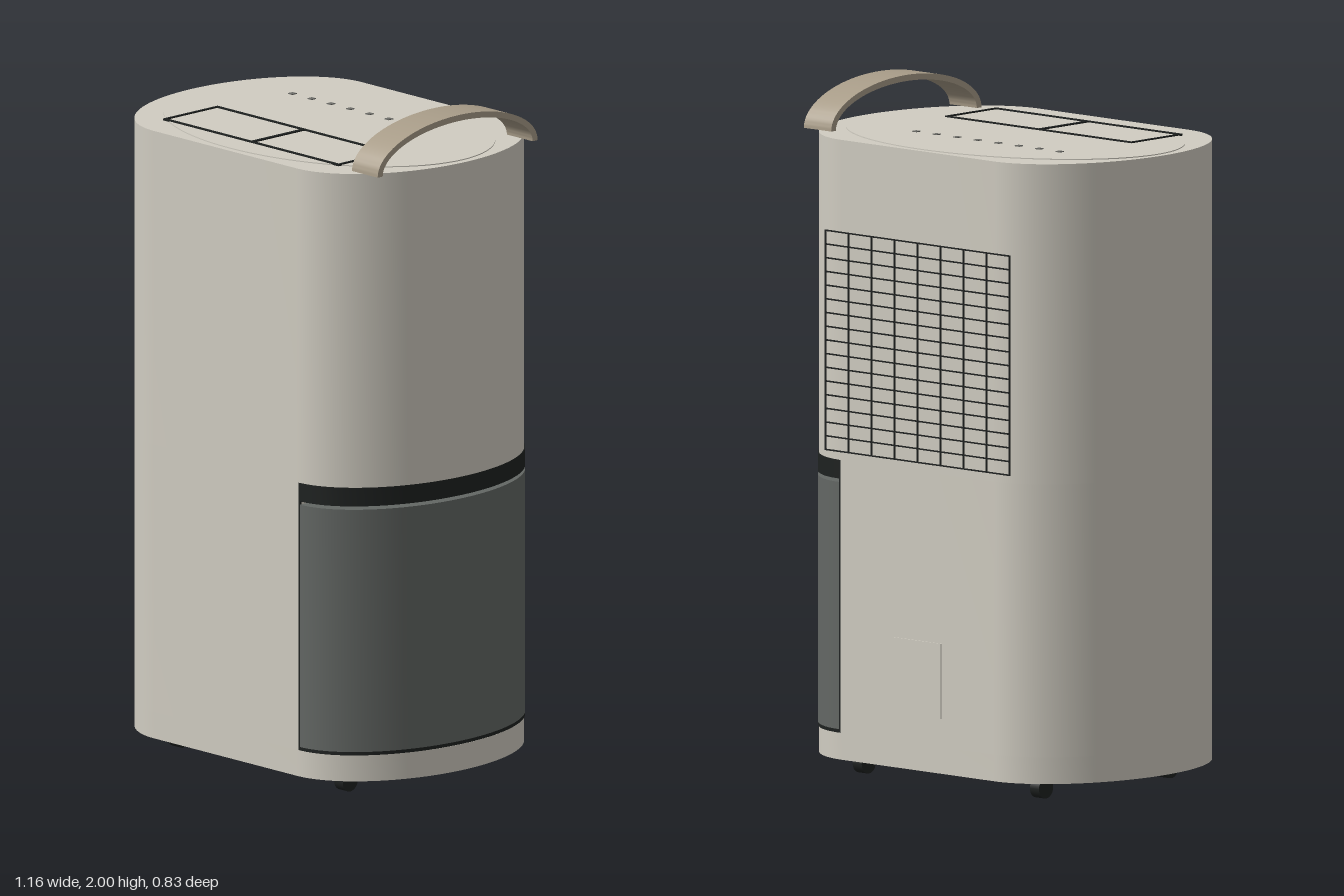
import * as THREE from 'three';
import { toCreasedNormals } from 'three/addons/utils/BufferGeometryUtils.js';

const material = (name, color, side = THREE.FrontSide) => {
  const m = new THREE.MeshStandardMaterial({ color, side });
  m.name = name;
  return m;
};

export function createModel() {
  const shell = material('warm grey shell', 0xd0ccc1);
  const tankGrey = material('dark grey tank', 0x636764);
  const black = material('black trim', 0x1e2120);
  const taupe = material('taupe handle', 0xa89c88);
  const dotGrey = material('indicator grey', 0x6c6c68);

  const model = new THREE.Group();
  model.name = 'dehumidifier';
  const add = (name, geometry, mat, x = 0, y = 0, z = 0, parent = model) => {
    const mesh = new THREE.Mesh(geometry, mat);
    mesh.name = name;
    mesh.position.set(x, y, z);
    parent.add(mesh);
    return mesh;
  };
  const group = (name) => {
    const g = new THREE.Group();
    g.name = name;
    model.add(g);
    return g;
  };
  const box = (w, h, d) => new THREE.BoxGeometry(w, h, d);

  // Upright prism from a plan shape
  const prism = (shape, y0, y1) => {
    const g = new THREE.ExtrudeGeometry(shape, { depth: y1 - y0, bevelEnabled: false, curveSegments: 40 });
    g.rotateX(-Math.PI / 2).translate(0, y0, 0);
    return toCreasedNormals(g, 0.5);
  };

  // Plan shapes: straight sides with half-ellipse ends
  const R = 0.413, W = 0.58, S = 0.3, H = Math.PI / 2;
  const fullPlan = new THREE.Shape();
  fullPlan.moveTo(-S, -R);
  fullPlan.lineTo(S, -R);
  fullPlan.absellipse(S, 0, W - S, R, -H, H, false);
  fullPlan.lineTo(-S, R);
  fullPlan.absellipse(-S, 0, W - S, R, H, 3 * H, false);

  const cutPlan = new THREE.Shape();
  cutPlan.moveTo(-S, -R);
  cutPlan.lineTo(0.306, -R);
  cutPlan.lineTo(0.306, R);
  cutPlan.lineTo(-S, R);
  cutPlan.absellipse(-S, 0, W - S, R, H, 3 * H, false);

  const tankPlan = new THREE.Shape();
  tankPlan.moveTo(0.312, -R + 0.001);
  tankPlan.absellipse(0.312, 0, W - 0.313, R - 0.001, -H, H, false);
  tankPlan.closePath();

  // Body
  add('base', prism(fullPlan, 0.06, 0.138), shell);
  add('middleBody', prism(cutPlan, 0.138, 0.935), shell);
  add('upperBody', prism(fullPlan, 0.935, 1.87), shell);

  // Water tank with trims
  add('tankSeal', prism(tankPlan, 0.138, 0.148), black);
  add('tank', prism(tankPlan, 0.148, 0.87), tankGrey);
  add('tankGrip', prism(tankPlan, 0.88, 0.935), black);
  for (const s of [-1, 1]) add('tankEdge', box(0.006, 0.797, 0.006), black, 0.309, 0.5365, s * (R - 0.004));

  // Oval top panel
  const oval = new THREE.Shape();
  oval.absellipse(0, 0, 0.56, 0.395, 0, Math.PI * 2, false);
  add('topPanel', prism(oval, 1.87, 1.873), shell);

  // Outlet flap outlines
  const flaps = group('outletFlaps');
  for (const z of [0.1, 0.308]) add('flapLine', box(0.735, 0.006, 0.008), black, 0, 1.874, z, flaps);
  for (const x of [-0.364, 0, 0.364]) add('flapLine', box(x ? 0.007 : 0.011, 0.006, 0.208), black, x, 1.874, 0.204, flaps);

  // Indicator row
  const dots = group('indicators');
  for (let i = 0; i < 8; i++) add('indicator', box(0.018, 0.004, 0.018), dotGrey, -0.329 + i * 0.081, 1.8735, -0.165, dots);

  // Arched carrying handle, swept across the right-hand end
  const arch = new THREE.Shape();
  arch.moveTo(0.318, 0);
  arch.absellipse(0, 0, 0.318, 0.13, 0, Math.PI, false);
  arch.lineTo(-0.298, 0);
  arch.absellipse(0, 0, 0.298, 0.112, Math.PI, 0, true);
  const handle = new THREE.ExtrudeGeometry(arch, { depth: 0.108, bevelEnabled: false, curveSegments: 32 });
  handle.rotateY(Math.PI / 2);
  add('handle', toCreasedNormals(handle, 0.5), taupe, 0.431, 1.87, 0);

  // Rear air grille
  const grille = group('rearGrille');
  const back = -R - 0.001;
  for (let i = 0; i <= 16; i++) add('slat', box(0.73, 0.004, 0.004), black, 0, 0.96 + i * 0.04, back, grille);
  for (let i = 0; i <= 8; i++) add('bar', box(0.004, 0.64, 0.004), black, -0.363 + i * 0.09075, 1.28, back, grille);

  // Rear service cover
  add('serviceCover', box(0.186, 0.22, 0.005), shell, 0, 0.33, back);

  // Casters
  for (const x of [-0.35, 0.35]) for (const z of [-0.265, 0.265]) {
    const wheel = new THREE.CylinderGeometry(0.03, 0.03, 0.036, 24).rotateZ(H);
    add('caster', wheel, black, x, 0.03, z);
    add('casterStem', box(0.02, 0.02, 0.02), black, x, 0.055, z);
  }
  return model;
}
